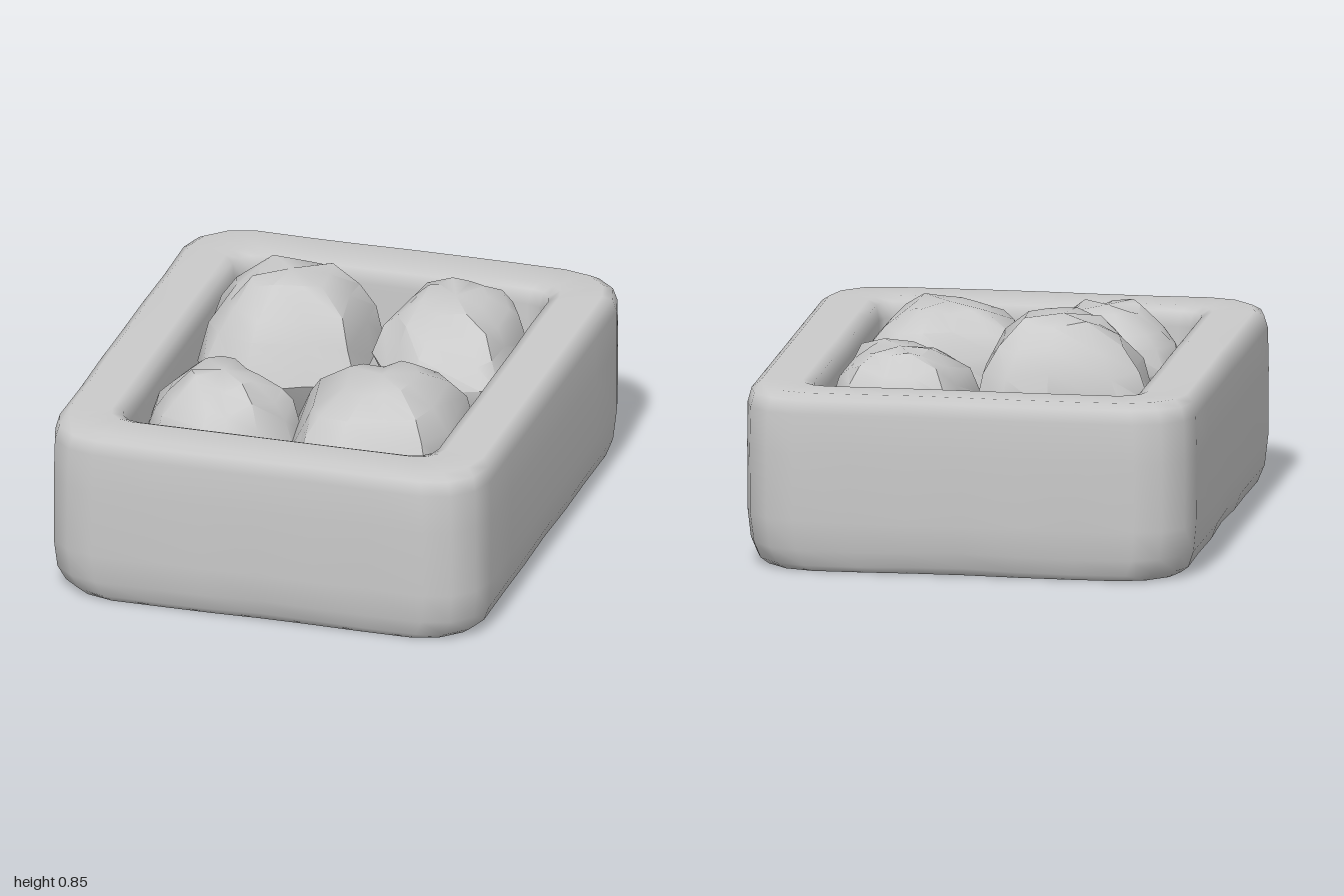
import * as THREE from 'three';
import { toCreasedNormals } from 'three/addons/utils/BufferGeometryUtils.js';

// Skin a stack of equal-length rings; optionally join the last ring to the first
function skin(rings, closed) {
  const n = rings[0].length, m = rings.length, index = [];
  const last = closed ? m : m - 1;
  for (let l = 0; l < last; l++) {
    for (let i = 0; i < n; i++) {
      const j = (i + 1) % n, k = (l + 1) % m;
      const a = l * n + i, b = l * n + j, c = k * n + j, d = k * n + i;
      if (closed || l < m - 2) index.push(a, d, c);
      if (closed || l > 0) index.push(a, c, b);
    }
  }
  const geo = new THREE.BufferGeometry();
  geo.setAttribute('position', new THREE.Float32BufferAttribute(rings.flat(2), 3));
  geo.setIndex(index);
  geo.computeVertexNormals();
  return geo;
}

// Rounded rectangle at height y, with evenly divided sides and gentle wear
function frameRing([hx, hz, r, y, wear]) {
  const corners = [[1, 1], [-1, 1], [-1, -1], [1, -1]];
  const arc = 3;
  const pts = [];
  corners.forEach(([sx, sz], q) => {
    for (let s = 0; s <= arc; s++) {
      const t = (q + s / arc) * Math.PI / 2;
      pts.push([sx * (hx - r) + r * Math.cos(t), sz * (hz - r) + r * Math.sin(t)]);
    }
  });
  const ring = [];
  pts.forEach((p, i) => {
    const next = pts[(i + 1) % pts.length];
    const steps = i % (arc + 1) === arc ? 6 : 1;
    for (let s = 0; s < steps; s++) {
      const x = THREE.MathUtils.lerp(p[0], next[0], s / steps);
      const z = THREE.MathUtils.lerp(p[1], next[1], s / steps);
      const w = wear * Math.sin(7 * x + 4 * y + 1) * Math.cos(6 * z - 5 * y);
      ring.push([x * (1 - Math.abs(w)), y + w * 0.5, z * (1 - Math.abs(w))]);
    }
  });
  return ring;
}

function seeded(seed) {
  return () => {
    seed = (seed * 16807) % 2147483647;
    return seed / 2147483647 - 0.5;
  };
}

// Chiselled rock: a plan outline scaled through a leaning vertical profile
function rockGeometry({ outline, bottom, top, foot, base, flat, lean, seed }) {
  const rand = seeded(seed);
  const n = outline.length;
  const cx = outline.reduce((s, p) => s + p[0], 0) / n;
  const cz = outline.reduce((s, p) => s + p[1], 0) / n;
  const mid = (bottom + top) / 2, half = (top - bottom) / 2;
  const profile = [[0, -1], [foot, -0.92], [base, -0.6], [(base + 1) / 2, -0.25], [1, 0.08],
    [0.87, 0.46], [0.71, 0.7], [flat, 0.93], [0, 0.98]];
  const rings = profile.map(([s, h], l) => {
    const inner = l > 0 && l < profile.length - 1;
    const rough = inner && l !== 4 ? 0.1 : 0;
    const shift = l === 4 ? 0 : h;
    return outline.map(([x, z]) => {
      const k = s * (1 + rough * rand());
      const dy = inner ? rand() * (l > 6 ? 0.035 : 0.05) : 0;
      return [cx + lean[0] * shift + (x - cx) * k, mid + h * half + dy, cz + lean[1] * shift + (z - cz) * k];
    });
  });
  return toCreasedNormals(skin(rings, false), 0.75);
}

export function createModel() {
  const model = new THREE.Group();
  const stone = new THREE.MeshStandardMaterial({ color: 0xcacaca });
  stone.name = 'grey stone';

  // Open rectangular frame: outer wall up, over the rim, inner wall down
  const frameProfile = [
    [0.77, 0.95, 0.2, 0.006, 0.004],
    [0.80, 0.97, 0.2, 0.03, 0.01],
    [0.825, 0.99, 0.2, 0.09, 0.01],
    [0.835, 1.0, 0.2, 0.2, 0.003],
    [0.835, 1.0, 0.2, 0.45, 0.003],
    [0.832, 1.0, 0.2, 0.6, 0.003],
    [0.82, 0.985, 0.2, 0.65, 0.004],
    [0.79, 0.955, 0.2, 0.672, 0.003],
    [0.64, 0.815, 0.1, 0.67, 0.003],
    [0.605, 0.78, 0.09, 0.655, 0.004],
    [0.592, 0.765, 0.09, 0.6, 0.002],
    [0.592, 0.765, 0.09, 0.1, 0.002],
    [0.605, 0.78, 0.09, 0.03, 0.004],
    [0.64, 0.815, 0.1, 0.006, 0.003],
  ];
  const frame = new THREE.Mesh(skin(frameProfile.map(frameRing), true), stone);
  frame.name = 'frame';
  model.add(frame);

  // Four rocks wedged inside the frame
  const rocks = {
    backLargeRock: {
      bottom: 0.14, top: 0.865, foot: 0.3, base: 0.52, flat: 0.43, lean: [0.02, -0.03], seed: 11,
      outline: [[-0.59, -0.37], [-0.5, -0.49], [-0.24, -0.56], [-0.07, -0.55], [0.04, -0.47], [0.05, -0.3],
        [0.07, -0.03], [-0.1, 0.04], [-0.33, 0.11], [-0.5, 0.03], [-0.56, -0.1], [-0.55, -0.22]],
    },
    backSmallRock: {
      bottom: 0.28, top: 0.755, foot: 0.45, base: 0.78, flat: 0.43, lean: [-0.01, -0.04], seed: 23,
      outline: [[0.07, -0.52], [0.11, -0.66], [0.21, -0.73], [0.36, -0.74], [0.5, -0.68], [0.57, -0.55],
        [0.59, -0.3], [0.59, -0.11], [0.53, -0.07], [0.28, -0.05], [0.15, -0.16], [0.05, -0.29]],
    },
    frontSmallRock: {
      bottom: 0.24, top: 0.75, foot: 0.62, base: 0.88, flat: 0.42, lean: [0.01, -0.02], seed: 37,
      outline: [[-0.59, 0.4], [-0.55, 0.22], [-0.43, 0.12], [-0.3, 0.13], [-0.15, 0.27], [-0.02, 0.36],
        [-0.01, 0.5], [-0.08, 0.67], [-0.2, 0.75], [-0.3, 0.76], [-0.5, 0.67], [-0.57, 0.52]],
    },
    frontLargeRock: {
      bottom: 0.15, top: 0.765, foot: 0.55, base: 0.82, flat: 0.38, lean: [0, -0.02], seed: 53,
      outline: [[-0.09, 0.18], [0.02, 0.1], [0.2, 0.03], [0.35, -0.04], [0.48, -0.01], [0.57, 0.12],
        [0.59, 0.45], [0.55, 0.65], [0.4, 0.72], [0.22, 0.77], [0.05, 0.7], [-0.02, 0.55]],
    },
  };
  for (const [name, spec] of Object.entries(rocks)) {
    const rock = new THREE.Mesh(rockGeometry(spec), stone);
    rock.name = name;
    model.add(rock);
  }
  return model;
}
